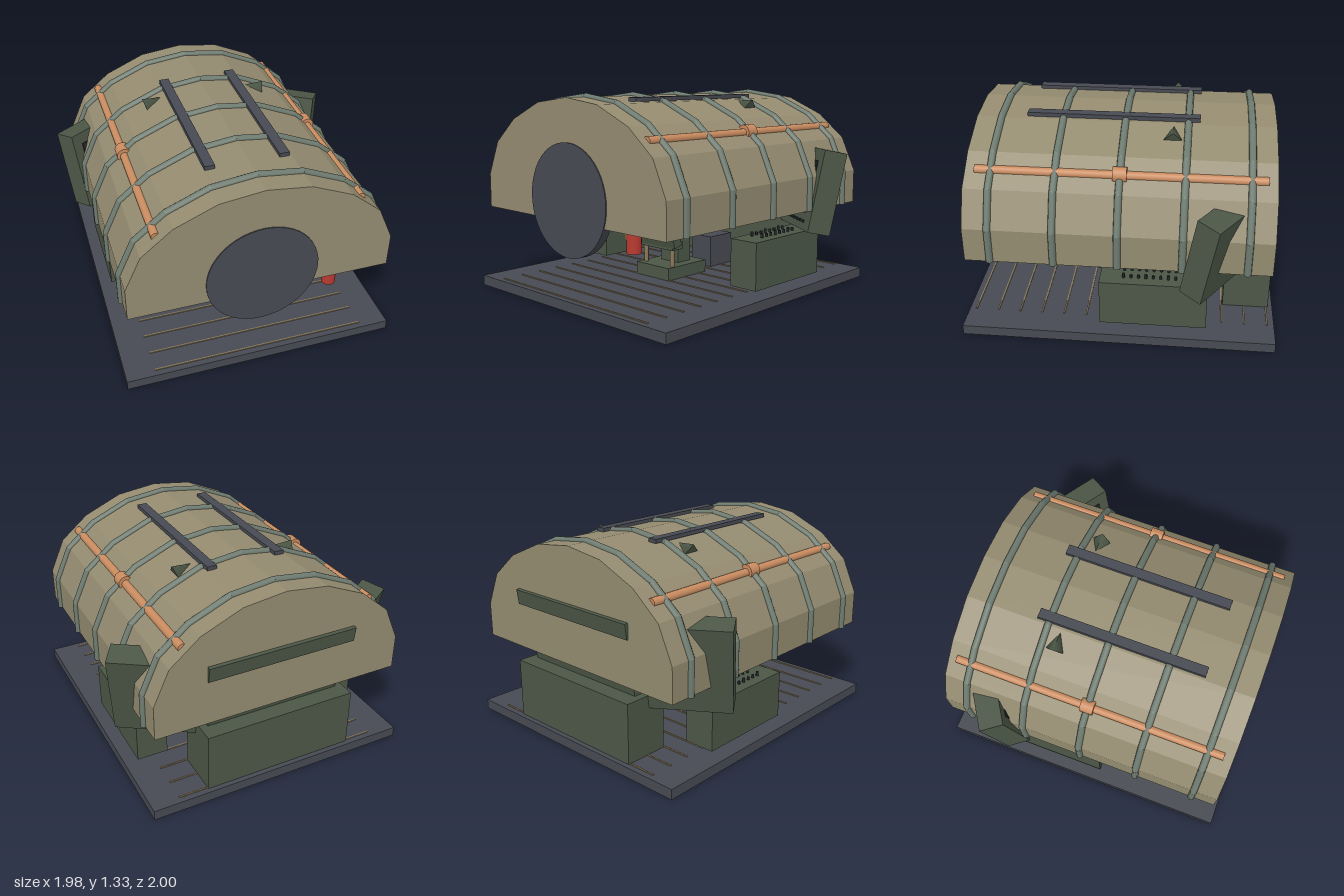
import * as THREE from 'three';

const mat = (name, color, extra = {}) =>
  Object.assign(new THREE.MeshStandardMaterial({ color, ...extra }), { name });

export function createModel() {
  const root = new THREE.Group();
  root.name = 'cockpit';
  const tan = mat('canopy tan', 0x948b70);
  const green = mat('panel green', 0x4c5747);
  const dark = mat('dark steel', 0x474a52);
  const copper = mat('copper', 0xca8c60);
  const grey = mat('rib grey green', 0x6e7b70);
  const red = mat('warning red', 0xb93a30);
  const black = mat('black', 0x24272b);
  const brass = mat('dull brass', 0x8a7a5a);

  const add = (name, geo, material, x = 0, y = 0, z = 0, parent = root) => {
    const m = new THREE.Mesh(geo, material);
    m.name = name;
    m.position.set(x, y, z);
    parent.add(m);
    return m;
  };
  const box = (name, material, w, h, d, x, y, z, parent = root) =>
    add(name, new THREE.BoxGeometry(w, h, d), material, x, y, z, parent);
  // Cylinder running between two points
  const rod = (name, material, a, b, r, parent = root, sides = 10) => {
    const dir = b.clone().sub(a);
    const mid = a.clone().add(b).multiplyScalar(0.5);
    const m = add(name, new THREE.CylinderGeometry(r, r, dir.length(), sides), material, mid.x, mid.y, mid.z, parent);
    m.quaternion.setFromUnitVectors(new THREE.Vector3(0, 1, 0), dir.normalize());
    return m;
  };
  const V = (x, y, z) => new THREE.Vector3(x, y, z);

  // Floor with tread strips
  box('floor', dark, 1.77, 0.066, 2, 0, 0.033, 0);
  for (let i = 0; i < 14; i++) box('floorTread', brass, 1.4, 0.006, 0.01, 0, 0.069, 0.955 - i * 0.147);

  // Canopy arch: half profile mirrored into a full one
  const half = [[0.84, 0.55], [0.84, 0.775], [0.738, 1.0], [0.545, 1.16], [0.28, 1.275]];
  const arch = [...half, [0, 1.31], ...half.map(([x, y]) => [-x, y]).reverse()];
  const toV2 = ([x, y]) => new THREE.Vector2(x, y);
  const inner = arch.map(([x, y]) => [x * 0.98, y === 0.55 ? y : 0.55 + (y - 0.55) * 0.975]).reverse();
  const extrude = (pts, depth) =>
    new THREE.ExtrudeGeometry(new THREE.Shape(pts.map(toV2)), { depth, bevelEnabled: false });
  add('canopyShell', extrude([...arch, ...inner], 1.89), tan, 0, 0, -0.942);
  add('canopyFrontWall', extrude(arch, 0.02), tan, 0, 0, 0.93);
  add('canopyBackWall', extrude(arch, 0.02), tan, 0, 0, -0.945);

  // Hoop ribs over the canopy
  for (const z of [-0.792, -0.396, 0, 0.396, 0.792]) {
    const rib = new THREE.Group();
    rib.name = 'canopyRib';
    root.add(rib);
    arch.forEach(([x, y], i) => {
      if (i > 0) rod('ribSegment', grey, V(arch[i - 1][0], arch[i - 1][1], z), V(x, y, z), 0.023, rib);
      if (i > 0 && i < arch.length - 1) add('ribJoint', new THREE.SphereGeometry(0.023, 10, 8), grey, x, y, z, rib);
    });
  }

  // Round hatch and vision slit
  const hatch = add('roundHatch', new THREE.CylinderGeometry(0.357, 0.357, 0.06, 48), dark, 0, 0.683, 0.927);
  hatch.rotation.x = Math.PI / 2;
  box('visionSlit', green, 1, 0.1, 0.03, 0, 0.898, -0.947).rotation.x = -0.14;

  for (const s of [1, -1]) {
    // Long copper pipes with a collar
    rod('copperPipe', copper, V(s * 0.63, 1.08, -0.89), V(s * 0.63, 1.08, 0.89), 0.028, root, 16);
    rod('pipeCollar', copper, V(s * 0.63, 1.085, -0.043), V(s * 0.63, 1.085, 0.043), 0.047, root, 16);

    // Roof rails and wedge vents
    box('roofRail', dark, 0.064, 0.026, 1.095, s * 0.233, 1.295, 0.078);
    const vent = new THREE.ConeGeometry(0.06, 0.14, 4);
    const cone = add('roofVent', vent, green, s * 0.34, 1.242, -0.305);
    cone.quaternion.setFromUnitVectors(V(0, 1, 0), V(-s * 0.14, 0.05, 0).normalize());

    // Side consoles with knobs
    box('sideConsole', green, 0.205, 0.31, 0.68, s * 0.705, 0.255, -0.22);
    for (let i = 0; i < 8; i++) {
      for (const dx of [-0.05, 0.03]) {
        add('consoleKnob', new THREE.CylinderGeometry(0.009, 0.009, i % 3 ? 0.02 : 0.034, 8), black,
          s * (0.705 + dx), 0.422, -0.03 - i * 0.047);
      }
    }

    // Tilted instrument wings facing the seat
    const wing = new THREE.Group();
    wing.name = 'instrumentWing';
    wing.position.set(s * 0.705, 0.665, -0.635);
    wing.rotation.set(-0.2, -s * 0.583, 0, 'YXZ');
    root.add(wing);
    box('wingPanel', green, 0.505, 0.56, 0.16, 0, 0, 0, wing);
    box('wingScreen', black, 0.36, 0.24, 0.008, 0, 0.08, 0.083, wing);
    for (let i = 0; i < 7; i++)
      for (const y of [-0.15, -0.22]) box('wingButton', black, 0.018, 0.018, 0.014, -0.15 + i * 0.05, y, 0.083, wing);

    // Seat posts, armrests and hand grips
    rod('seatPost', brass, V(s * 0.125, 0.15, 0.165), V(s * 0.125, 0.3, 0.165), 0.016);
    box('armrest', dark, 0.05, 0.02, 0.18, s * 0.22, 0.48, 0.09);
    rod('hangingPipe', copper, V(s * 0.42, 0.49, -0.66), V(s * 0.42, 0.62, -0.66), 0.015);
    rod('hangingPipe', copper, V(s * 0.3, 0.49, -0.66), V(s * 0.3, 0.62, -0.66), 0.015);
  }

  // Seat facing the dashboard
  box('seatBase', green, 0.31, 0.085, 0.37, 0, 0.11, 0.045);
  box('seatCrossbar', green, 0.35, 0.05, 0.1, 0, 0.3, 0.165);
  box('seatPan', green, 0.4, 0.09, 0.26, 0, 0.42, 0);
  box('seatColumn', green, 0.16, 0.24, 0.12, 0, 0.26, 0);
  box('seatBack', green, 0.4, 0.62, 0.07, 0, 0.6, 0.265).rotation.x = 0.27;

  // Control stick
  rod('stick', dark, V(0, 0.46, -0.07), V(0, 0.68, -0.11), 0.016);
  add('stickCollar', new THREE.CylinderGeometry(0.028, 0.028, 0.03, 14), red, 0, 0.485, -0.075);

  // Pedal pedestal and dashboard
  box('pedalPedestal', dark, 0.18, 0.22, 0.23, 0, 0.175, -0.385);
  box('dashBase', green, 1.02, 0.39, 0.3, 0, 0.263, -0.82);
  box('dashPanel', green, 0.92, 0.42, 0.08, 0, 0.62, -0.85).rotation.x = -0.18;
  box('dashScreen', black, 0.6, 0.24, 0.008, 0, 0.66, -0.815).rotation.x = -0.18;

  // Fire extinguisher
  add('extinguisherBody', new THREE.CylinderGeometry(0.045, 0.045, 0.19, 20), red, 0.488, 0.515, 0.858);
  add('extinguisherCap', new THREE.CylinderGeometry(0.018, 0.03, 0.05, 14), black, 0.488, 0.635, 0.858);
  rod('extinguisherHose', copper, V(0.43, 0.49, 0.86), V(0.43, 0.65, 0.86), 0.012);

  return root;
}
